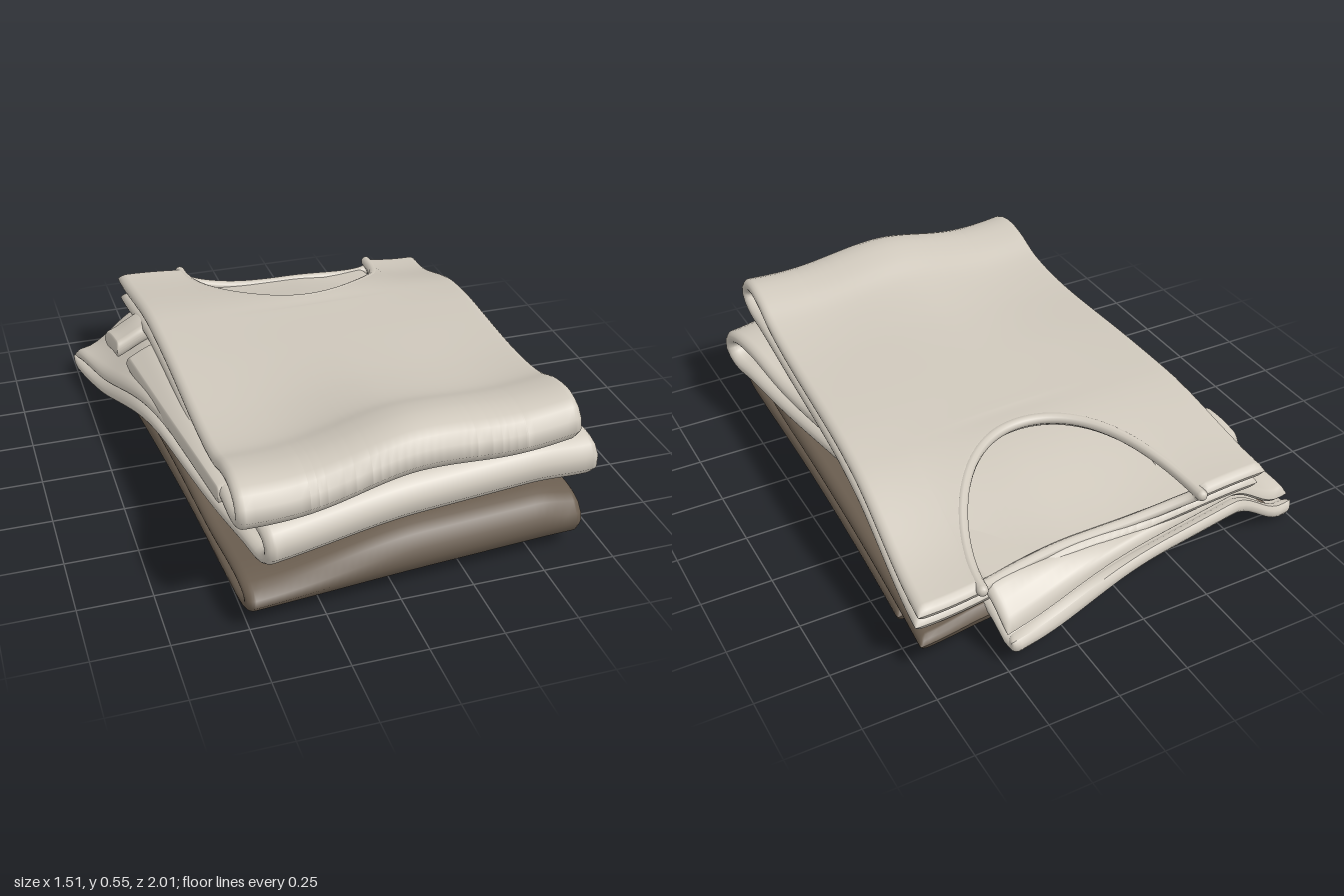
import * as THREE from 'three';

const { smoothstep, lerp } = THREE.MathUtils;
const cream = new THREE.MeshStandardMaterial({ color: 0xcfc8bc });
cream.name = 'cream cotton';
const brown = new THREE.MeshStandardMaterial({ color: 0x6b5e50 });
brown.name = 'brown cotton';

// Neckline of the top shirt, as a share u of its width
const NECK = { u: 0.515, half: 0.315, front: -0.34, back: -0.88 };
function neckEnd(u) {
  const v = (u - NECK.u) / NECK.half;
  return Math.abs(v) >= 1 ? NECK.back : lerp(NECK.back, NECK.front, Math.sqrt(1 - v * v));
}

// Puts a point of a sheet (u across, z along, y up) into its skewed, sagging footprint
function place(s, u, z, y) {
  const k = (z + 0.9) / 1.8;
  const x = lerp(lerp(s.left[0], s.left[1], k), lerp(s.right[0], s.right[1], k), u)
    + (s.bow ?? 0) * 4 * k * (1 - k) * (1 - 2 * u);
  const zz = z - lerp(s.skew[0], s.skew[1], smoothstep(z, -0.9, 0.9)) * (u - 0.5);
  return new THREE.Vector3(x, y + s.sag(x, zz, y), zz);
}

// Padded cloth following a (z, y) centre line, rounded along all of its hems
function sheet(name, s, material) {
  const curve = new THREE.CatmullRomCurve3(
    s.path.map(([z, y]) => new THREE.Vector3(z, y, 0)), false, 'centripetal');
  curve.arcLengthDivisions = 600;
  const N = 120, len = curve.getLength(), round = 0.03;
  const hem = d => Math.sqrt(Math.max(0, 1 - (1 - Math.min(1, d / round)) ** 2));
  // rows are closer together at both ends so the hems are round
  const rows = [0, 0.002, 0.006];
  for (let i = 1; i < N; i++) rows.push(i / N);
  rows.push(0.994, 0.998, 1);
  const line = rows.map(t => ({ p: curve.getPointAt(t), d: curve.getTangentAt(t), h: hem(Math.min(t, 1 - t) * len) }));
  const foldRow = line.reduce((m, q, i) => (q.p.x > line[m].p.x ? i : m), 0);
  const ring = [];
  line.forEach((q, i) => ring.push([q, 1, i]));
  for (let i = line.length - 1; i >= 0; i--) ring.push([line[i], -1, i]);

  // columns: fine at the side hems, and following the neckline where there is one
  let us = [0, 0.001, 0.004, 0.01, 0.018, 0.982, 0.99, 0.996, 0.999, 1];
  for (let i = 1; i < 40; i++) us.push(i / 40);
  if (s.neck) for (let i = 0; i <= 40; i++) us.push(NECK.u + NECK.half * Math.cos(Math.PI * i / 40));
  us.sort((a, b) => a - b);
  us = us.filter((u, i) => i === 0 || u - us[i - 1] > 0.0009);

  const pos = [], index = [], R = ring.length;
  for (const u of us) {
    const edge = hem(Math.min(u, 1 - u) * 1.25);
    for (const [q, side, i] of ring) {
      const o = side * s.thick / 2 * q.h * edge;
      let z = q.p.x - q.d.y * o;
      const y = q.p.y + q.d.x * o;
      // the upper ply is cut back to the neckline
      if (s.neck && i < foldRow && z < -0.25) z = lerp(-0.25, neckEnd(u), (-0.25 - z) / 0.63);
      pos.push(...place(s, u, z, y).toArray());
    }
  }
  for (let c = 0; c < us.length - 1; c++) for (let r = 0; r < R; r++) {
    const a = c * R + r, d = c * R + (r + 1) % R;
    index.push(a, d, a + R, d, d + R, a + R);
  }
  const g = new THREE.BufferGeometry();
  g.setAttribute('position', new THREE.Float32BufferAttribute(pos, 3));
  g.setIndex(index);
  g.computeVertexNormals();
  const mesh = new THREE.Mesh(g, material);
  mesh.name = name;
  return mesh;
}

// Soft dip towards the left-hand side of the pile, strongest at the front
const frontDip = (x, z, depth) => -depth * smoothstep(-x, -0.1, 0.5) * smoothstep(z, -0.3, 0.8);

const bottomShirt = {
  thick: 0.07, left: [-0.66, -0.51], right: [0.75, 0.67], skew: [0.1, 0.09], bow: 0.02,
  path: [[-0.83, 0.13], [-0.4, 0.135], [0.2, 0.14], [0.55, 0.148], [0.75, 0.185], [0.86, 0.192], [0.925, 0.165],
    [0.935, 0.115], [0.89, 0.075], [0.75, 0.06], [0.2, 0.06], [-0.62, 0.06]],
  sag: (x, z, y) => Math.max(0, (y - 0.06) / 0.15)
    * (frontDip(x, z, 0.07) - 0.03 * smoothstep(x, 0.5, 0.7)
      - 0.1 * smoothstep(-x, 0.45, 0.62) * smoothstep(-z, 0, 0.7)),
};

const middleShirt = {
  thick: 0.05, left: [-0.76, -0.43], right: [0.48, 0.76], skew: [0.2, 0.14],
  path: [[-0.865, 0.258], [-0.8, 0.272], [-0.4, 0.28], [0, 0.295], [0.45, 0.31], [0.7, 0.36], [0.81, 0.358],
    [0.87, 0.33], [0.88, 0.285], [0.83, 0.245], [0.7, 0.24], [0.45, 0.225], [0, 0.225], [-0.4, 0.215],
    [-0.8, 0.205], [-0.87, 0.215], [-0.885, 0.245]],
  sag: (x, z) => frontDip(x, z, 0.05) - 0.02 * smoothstep(x, 0.5, 0.75)
    - 0.05 * smoothstep(-z, 0.3, 0.9)
    - 0.135 * smoothstep(-x, 0.46, 0.72) * smoothstep(-z, -0.2, 0.5)
    - 0.09 * smoothstep(-z, 0.84, 0.99) * smoothstep(x, -0.2, 0.4),
};

const topShirt = {
  thick: 0.05, left: [-0.54, -0.525], right: [0.75, 0.655], skew: [0, 0.1], bow: 0.012, neck: true,
  path: [[-0.88, 0.405], [-0.3, 0.405], [0, 0.415], [0.4, 0.432], [0.6, 0.462], [0.72, 0.505], [0.82, 0.518],
    [0.895, 0.49], [0.91, 0.445], [0.85, 0.41], [0.7, 0.398], [0.55, 0.385], [0.4, 0.373], [0, 0.357],
    [-0.3, 0.34], [-0.85, 0.335]],
  sag: (x, z) => frontDip(x, z, 0.06)
    + 0.012 * Math.cos((x - 0.1) * 9) * smoothstep(z, 0, 0.8)
    + smoothstep(-z, 0.3, 0.9) * (-0.1 + 0.03 * smoothstep(-x, 0, 0.5))
    - 0.065 * smoothstep(x, 0.15, 0.7) * smoothstep(-z, 0.1, 0.75),
};

// Sleeve ends peeking out between the two upper shirts
const sleeveDroop = (x, z) => -0.055 * smoothstep(-x, 0.5, 0.66) - 0.05 * smoothstep(-z, 0.3, 0.9);
const longSleeve = {
  thick: 0.06, left: [-0.67, -0.515], right: [-0.2, -0.2], skew: [0.03, 0],
  path: [[-0.32, 0.31], [0.2, 0.32], [0.75, 0.34]], sag: sleeveDroop,
};
const sleeveCuff = {
  thick: 0.07, left: [-0.68, -0.5], right: [-0.25, -0.25], skew: [0.1, -0.25],
  path: [[-0.63, 0.305], [-0.54, 0.315], [-0.44, 0.31]], sag: sleeveDroop,
};

// Ribbed band around the neck: front scoop and shallow back curve
function collar(s) {
  const group = new THREE.Group();
  group.name = 'collar';
  const front = [], back = [];
  for (let i = 0; i <= 32; i++) {
    const a = Math.PI * i / 32, u = NECK.u + NECK.half * Math.cos(a);
    front.push(place(s, u, lerp(NECK.back, NECK.front, Math.sin(a)), 0.412));
    back.push(place(s, u, -0.86 + 0.05 * Math.sin(a), lerp(0.4, 0.352, Math.sin(a))));
  }
  [['frontNeckband', front], ['backNeckband', back]].forEach(([name, pts]) => {
    const band = new THREE.Mesh(new THREE.TubeGeometry(new THREE.CatmullRomCurve3(pts), 90, 0.02, 10), cream);
    band.name = name;
    group.add(band);
    // rounded band ends on the shoulders
    for (const p of [pts[0], pts[pts.length - 1]]) {
      const tip = new THREE.Mesh(new THREE.SphereGeometry(0.02, 12, 8), cream);
      tip.name = 'neckbandEnd';
      tip.position.copy(p);
      group.add(tip);
    }
  });
  return group;
}

export function createModel() {
  const model = new THREE.Group();
  model.name = 'foldedShirts';
  model.add(
    sheet('bottomShirt', bottomShirt, brown),
    sheet('middleShirt', middleShirt, cream),
    sheet('longSleeve', longSleeve, cream),
    sheet('sleeveCuff', sleeveCuff, cream),
    sheet('topShirt', topShirt, cream),
    collar(topShirt),
  );
  return model;
}
